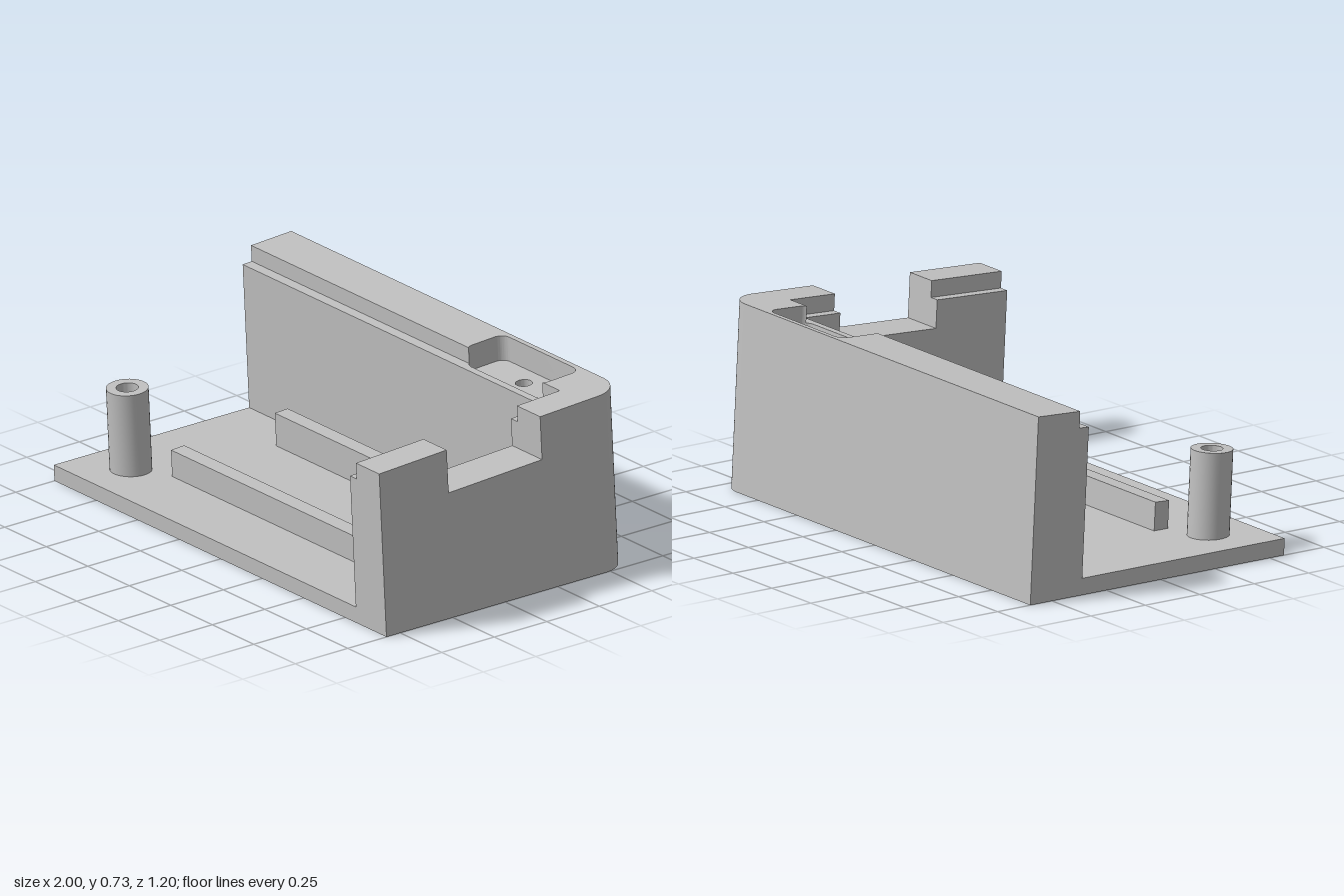
import * as THREE from 'three';
import { toCreasedNormals } from 'three/addons/utils/BufferGeometryUtils.js';

// Half of an enclosure whose walls lean 3 degrees while its base is cut flat.
const TILT = THREE.MathUtils.degToRad(3);
const BACK = 0.599, FRONT = -0.565, CORNER = 0.12;   // plan coordinates: x, and s = -z
const FLOOR = 0.065, SILL = 0.52, POCKET = 0.595, LEDGE = 0.63, TOP = 0.695;

// Level that is horizontal after tilting, or one that tilts with the walls
const flat = (h) => (z) => (h + z * Math.sin(TILT)) / Math.cos(TILT);
const tilted = (h) => () => h;

// Extrude a plan shape between two levels
function slab(name, shape, low, high, material) {
  let g = new THREE.ExtrudeGeometry(shape, { depth: 1, bevelEnabled: false, curveSegments: 16 });
  g.rotateX(-Math.PI / 2);
  const p = g.attributes.position;
  for (let i = 0; i < p.count; i++) {
    p.setY(i, (p.getY(i) > 0.5 ? high : low)(p.getZ(i)));
  }
  g = toCreasedNormals(g, 0.5);
  const mesh = new THREE.Mesh(g, material);
  mesh.name = name;
  return mesh;
}

function rect(x0, x1, s0, s1) {
  return new THREE.Shape([[x0, s0], [x1, s0], [x1, s1], [x0, s1]].map(([x, s]) => new THREE.Vector2(x, s)));
}

function circle(x, s, r, Kind = THREE.Path) {
  const c = new Kind();
  c.absarc(x, s, r, 0, Math.PI * 2, false);
  return c;
}

// Rounded outline of the pocket; "a" limits the two front corner arcs
function pocketArcs(path, a) {
  const r = 0.04, h = Math.PI / 2;
  path.absarc(0.34, 0.434, r, Math.PI + a, Math.PI, true);
  path.absarc(0.34, 0.538, r, Math.PI, h, true);
  path.absarc(0.725, 0.538, r, h, 0, true);
  path.absarc(0.725, 0.434, r, 0, -a, true);
  return path;
}

// L-shaped wall plan with a rounded outer corner
function wallPlan(innerX, innerS, endS, notch) {
  const s = new THREE.Shape();
  s.moveTo(innerX, endS);
  s.lineTo(1, endS);
  s.absarc(1 - CORNER, BACK - CORNER, CORNER, 0, Math.PI / 2, false);
  s.lineTo(-1, BACK);
  s.lineTo(-1, innerS);
  if (notch) pocketArcs(s, Math.asin((0.434 - innerS) / 0.04));
  s.lineTo(innerX, innerS);
  s.closePath();
  return s;
}

function withHole(shape, hole) {
  shape.holes.push(hole);
  return shape;
}

export function createModel() {
  const model = new THREE.Group();
  model.name = 'enclosureHalf';
  const body = new THREE.Group();
  body.name = 'tiltedBody';
  body.rotation.x = TILT;
  model.add(body);

  const grey = new THREE.MeshStandardMaterial({ color: 0xc0c0c0 });
  grey.name = 'light grey';
  const add = (name, shape, low, high) => body.add(slab(name, shape, low, high, grey));

  const HX = 0.53, HS = 0.492;
  const bore = () => circle(HX, HS, 0.06);

  // Floor plate with the wide screw bore
  const base = wallPlan(-1, FRONT, FRONT);
  add('floor', withHole(base, bore()), flat(0), flat(FLOOR));

  // Back and side wall, in layers up to the rim
  add('wallLower', withHole(wallPlan(0.82, 0.364, FRONT), bore()), flat(FLOOR), tilted(SILL));
  const end = 0.2025;
  add('wallMiddle', withHole(wallPlan(0.82, 0.364, end), circle(HX, HS, 0.032)), tilted(SILL), tilted(POCKET));
  add('wallPocket', withHole(wallPlan(0.82, 0.364, end), pocketArcs(new THREE.Path(), Math.PI / 2)),
    tilted(POCKET), tilted(LEDGE));
  add('wallRim', wallPlan(0.86, 0.407, end, true), tilted(LEDGE), tilted(TOP));

  // Side wall in front of the cutout
  add('frontPillar', rect(0.82, 1, FRONT, -0.243), tilted(SILL), tilted(LEDGE));
  add('frontPillarRim', rect(0.86, 1, FRONT, -0.243), tilted(LEDGE), tilted(TOP));

  // Two long support ribs
  add('backRib', rect(-0.635, 0.765, 0.205, 0.266), flat(FLOOR), tilted(0.188));
  add('frontRib', rect(-0.635, 0.765, -0.29, -0.227), flat(FLOOR), tilted(0.188));

  // Hollow screw post
  const post = withHole(circle(-0.79, -0.364, 0.08, THREE.Shape), circle(-0.79, -0.364, 0.042));
  add('screwPost', post, flat(FLOOR), tilted(0.417));

  return model;
}
